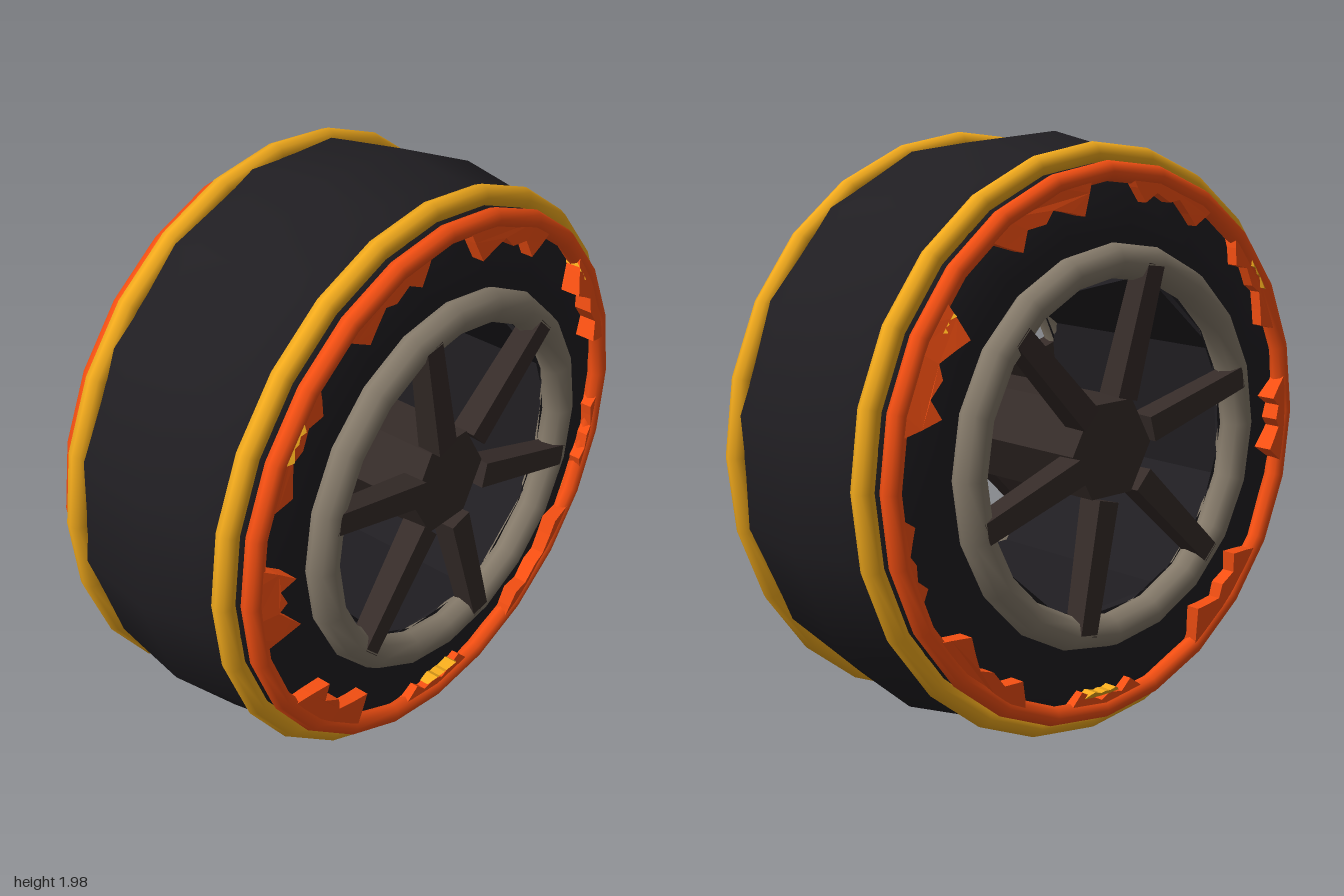
import * as THREE from 'three';

const CENTRE_Y = 0.985;
const rad = THREE.MathUtils.degToRad;
const mat = (color, opts = {}) => new THREE.MeshStandardMaterial({ color, ...opts });

const rubber = mat(0x201e22, { side: THREE.DoubleSide });
const boreDark = mat(0x201e22, { side: THREE.DoubleSide, flatShading: true });
const yellow = mat(0xf2aa1c);
const orange = mat(0xf54f12);
const flameOrange = mat(0xf54f12, { flatShading: true, side: THREE.DoubleSide });
const emberYellow = mat(0xf2aa1c, { flatShading: true, side: THREE.DoubleSide });
const rimGrey = mat(0x857a6a);
const iron = mat(0x362c29, { flatShading: true });

// Flames: [start angle, end angle (clockwise from the top), inner radius, outward lift]
const FLAMES = [
  [-34, -5, 0.79, 0.01], [5, 37, 0.77, 0.02], [-71, -42, 0.80, 0.01],
  [51, 80, 0.77, 0.05], [-102, -81, 0.76, 0.05], [-151, -122, 0.75, 0.03],
  [168, 193, 0.81, 0.0], [123, 156, 0.79, 0.03], [94, 116, 0.83, 0.01],
];
const EMBERS = [[173, 184, 0.81, 0.02], [52, 58, 0.84, 0.03], [-60, -50, 0.86, 0.02]];
// Ragged inner edge: [fraction along the arc, fraction of the reach]
const RAGGED = [[0.9, 0.55], [0.8, 0.95], [0.68, 0.6], [0.52, 0.75], [0.42, 0.55], [0.28, 0.8], [0.16, 1], [0.07, 0.5]];

function add(group, name, geometry, material) {
  const mesh = new THREE.Mesh(geometry, material);
  mesh.name = name;
  group.add(mesh);
  return mesh;
}

// Torus around the x axis
function ring(group, name, x, radius, tube, segments, material) {
  const g = new THREE.TorusGeometry(radius, tube, 8, segments);
  g.rotateY(Math.PI / 2).translate(x, 0, 0);
  add(group, name, g, material);
}

// Jagged patch that follows the sidewall, its tips curling outwards
function flame(group, name, side, [a0, a1, inner, lift], outer, material) {
  const at = (f, r) => {
    const a = rad(a0 + (a1 - a0) * f);
    return new THREE.Vector2(r * Math.sin(a), r * Math.cos(a));
  };
  const pts = [];
  for (let i = 0; i <= 5; i++) pts.push(at(i / 5, outer));
  for (const [f, k] of RAGGED) pts.push(at(f, outer + (inner - outer) * k));
  const g = new THREE.ExtrudeGeometry(new THREE.Shape(pts), { depth: 0.05, bevelEnabled: false });
  const p = g.attributes.position;
  for (let i = 0; i < p.count; i++) {
    const reach = (outer - Math.hypot(p.getX(i), p.getY(i))) / (outer - inner);
    const out = p.getZ(i) > 0.02 ? 0.405 + lift * reach : 0.36;
    p.setZ(i, side * out);
  }
  g.rotateY(Math.PI / 2);
  g.computeVertexNormals();
  add(group, name, g, material);
}

export function createModel() {
  const model = new THREE.Group();
  model.name = 'wheel';
  model.position.y = CENTRE_Y;

  // Tyre: crowned tread and rounded sidewalls
  const half = [[0.2, 0.968], [0.29, 0.953], [0.34, 0.92], [0.37, 0.86], [0.39, 0.72], [0.385, 0.56]];
  const profile = [
    ...half.slice().reverse().map(([x, r]) => new THREE.Vector2(r, -x)),
    new THREE.Vector2(1, 0),
    ...half.map(([x, r]) => new THREE.Vector2(r, x)),
  ];
  const tyre = new THREE.LatheGeometry(profile, 16, rad(-14.25));
  add(model, 'tyre', tyre.rotateZ(-Math.PI / 2), rubber);

  // Faceted inner barrel
  const bore = new THREE.CylinderGeometry(0.575, 0.575, 0.78, 8, 1, true, rad(-27));
  add(model, 'innerBarrel', bore.rotateZ(-Math.PI / 2), boreDark);

  // Six-sided hub running right through
  const hub = new THREE.CylinderGeometry(0.178, 0.178, 0.84, 6);
  add(model, 'hub', hub.rotateZ(-Math.PI / 2), iron);

  for (const side of [1, -1]) {
    const face = new THREE.Group();
    face.name = side > 0 ? 'leftFace' : 'rightFace';
    model.add(face);

    ring(face, 'outerBand', side * 0.318, 0.942, 0.036, 24, yellow);
    ring(face, 'flameBand', side * 0.385, 0.89, 0.033, 24, orange);
    ring(face, 'rim', side * 0.412, 0.61, 0.057, 20, rimGrey);

    // Tapered square spokes leaning slightly outwards
    for (let i = 0; i < 6; i++) {
      const g = new THREE.CylinderGeometry(0.052, 0.062, 0.44, 4, 1, false, Math.PI / 4);
      g.translate(0, 0.39, 0).rotateZ(-side * 0.06);
      g.translate(side * 0.395, 0, 0).rotateX(-rad(-14 + 60 * i));
      add(face, 'spoke', g, iron);
    }

    for (const f of FLAMES) flame(face, 'flame', side, f, 0.9, flameOrange);
    for (const e of EMBERS) flame(face, 'ember', side, e, e[2] + 0.025, emberYellow);
  }

  const root = new THREE.Group();
  root.name = 'flamingWheel';
  root.add(model);
  return root;
}
